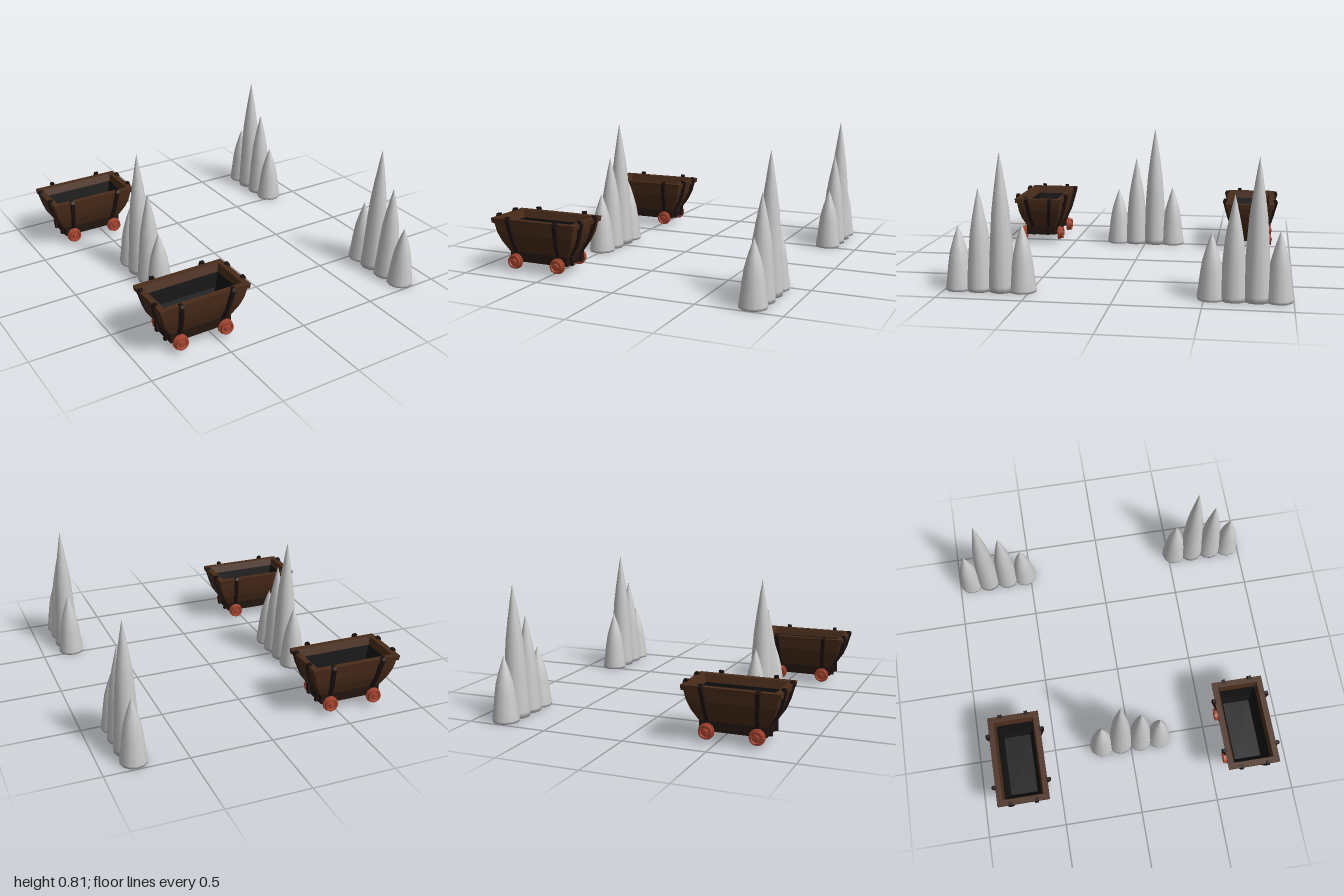
import * as THREE from 'three';
import { toCreasedNormals } from 'three/addons/utils/BufferGeometryUtils.js';

const mat = (color, side = THREE.FrontSide) => new THREE.MeshStandardMaterial({ color, side });
const grey = mat(0xcccccc);
const wood = mat(0x4a2c1a);
const darkWood = mat(0x23160f);
const inside = mat(0x121212);
const iron = mat(0x1e1211);
const rust = mat(0xa5442f);

function add(parent, name, geometry, material) {
  const mesh = new THREE.Mesh(geometry, material);
  mesh.name = name;
  parent.add(mesh);
  return mesh;
}

// Joins rectangular sections [halfX, halfZ, y] into one faceted surface
function loft(sections) {
  const corners = [[1, 1], [1, -1], [-1, -1], [-1, 1]];
  const pos = [];
  for (let i = 0; i < sections.length - 1; i++) {
    for (let k = 0; k < 4; k++) {
      const at = (s, c) => [s[0] * c[0], s[2], s[1] * c[1]];
      const c0 = corners[k], c1 = corners[(k + 1) % 4];
      const a = at(sections[i], c0), b = at(sections[i], c1);
      const c = at(sections[i + 1], c1), d = at(sections[i + 1], c0);
      pos.push(...a, ...b, ...c, ...a, ...c, ...d);
    }
  }
  const g = new THREE.BufferGeometry();
  g.setAttribute('position', new THREE.Float32BufferAttribute(pos, 3));
  g.computeVertexNormals();
  return g;
}

// Four tapering stone spikes in a row along z
function createSpikeRow() {
  const row = new THREE.Group();
  row.name = 'spikeRow';
  const profile = [[0, 0], [0.079, 0], [0.081, 0.04], [0.072, 0.2], [0.063, 0.4],
    [0.052, 0.58], [0.036, 0.73], [0.016, 0.89], [0, 1]];
  const spikes = [[0.19, 0.38], [0.065, 0.6], [-0.065, 0.81], [-0.188, 0.4]];
  for (const [z, h] of spikes) {
    const pts = profile.map(([r, y]) => new THREE.Vector2(r, y * h));
    add(row, 'spike', new THREE.LatheGeometry(pts, 12), grey).position.z = z;
  }
  return row;
}

// Iron strap following the wall profile [out, y], splayed outwards towards the top
function strapGeometry(path, foot, splay, sign) {
  const thick = 0.016, width = 0.022;
  const outer = path.map(([u, y]) => new THREE.Vector2(u + thick, y));
  const inner = path.map(([u, y]) => new THREE.Vector2(u - 0.008, y)).reverse();
  const g = new THREE.ExtrudeGeometry(new THREE.Shape([...outer, ...inner]),
    { depth: width, bevelEnabled: false });
  g.translate(0, 0, -width / 2);
  g.rotateY(-Math.PI / 2);
  const p = g.attributes.position;
  for (let i = 0; i < p.count; i++) {
    p.setX(i, p.getX(i) + sign * (foot + splay * (p.getY(i) - 0.06) / 0.28));
  }
  g.computeVertexNormals();
  return g;
}

function createCart() {
  const cart = new THREE.Group();
  cart.name = 'cart';

  // Flared tub with a thick rim
  add(cart, 'tub', loft([
    [0, 0, 0.12], [0.2, 0.1, 0.12], [0.238, 0.128, 0.185], [0.26, 0.143, 0.24],
    [0.273, 0.15, 0.298], [0.284, 0.16, 0.298], [0.287, 0.164, 0.328],
    [0.25, 0.128, 0.328], [0.238, 0.115, 0.28],
  ]), wood);
  add(cart, 'tubInside', loft([
    [0.238, 0.115, 0.28], [0.215, 0.1, 0.19], [0.19, 0.085, 0.14], [0, 0, 0.14],
  ]), inside);

  // Chassis below the tub
  add(cart, 'chassis', loft([
    [0, 0, 0.06], [0.197, 0.1, 0.06], [0.197, 0.1, 0.12], [0, 0, 0.12],
  ]), darkWood);

  // Straps: two on each long side, two on each end
  const sidePath = [[0.1, 0.06], [0.1, 0.12], [0.13, 0.185], [0.147, 0.24],
    [0.16, 0.29], [0.17, 0.325], [0.163, 0.343]];
  const endPath = [[0.197, 0.06], [0.193, 0.12], [0.238, 0.185], [0.26, 0.24],
    [0.274, 0.29], [0.283, 0.325], [0.276, 0.343]];
  for (let quarter = 0; quarter < 4; quarter++) {
    const isSide = quarter % 2 === 0;
    for (const sign of [-1, 1]) {
      const g = isSide ? strapGeometry(sidePath, 0.138, 0.027, sign)
        : strapGeometry(endPath, 0.05, 0.035, sign);
      add(cart, isSide ? 'sideStrap' : 'endStrap', g, iron).rotation.y = quarter * Math.PI / 2;
    }
  }

  // Flanged wheels and their axles
  const wheelProfile = [[0, 0], [0.047, 0], [0.047, 0.012], [0.04, 0.014], [0.04, 0.032],
    [0.031, 0.032], [0.028, 0.025], [0.018, 0.025], [0.016, 0.036], [0, 0.038]];
  const wheel = toCreasedNormals(new THREE.LatheGeometry(
    wheelProfile.map(([r, y]) => new THREE.Vector2(r, y)), 16), 0.6);
  wheel.rotateX(Math.PI / 2);
  for (const x of [-0.147, 0.147]) {
    const axle = add(cart, 'axle', new THREE.CylinderGeometry(0.012, 0.012, 0.25, 8), iron);
    axle.rotation.x = Math.PI / 2;
    axle.position.set(x, 0.066, 0);
    for (const s of [-1, 1]) {
      const w = add(cart, 'wheel', wheel, rust);
      w.position.set(x, 0.066, s * 0.115);
      if (s < 0) w.rotation.y = Math.PI;
    }
  }
  return cart;
}

export function createModel() {
  const model = new THREE.Group();
  model.name = 'cartsAndSpikes';
  for (const [x, z] of [[-0.515, 0], [0.805, 0.73], [0.805, -0.73]]) {
    const row = createSpikeRow();
    row.position.set(x, 0, z);
    model.add(row);
  }
  for (const z of [-0.73, 0.73]) {
    const cart = createCart();
    cart.position.set(-0.592, 0, z);
    model.add(cart);
  }
  return model;
}
